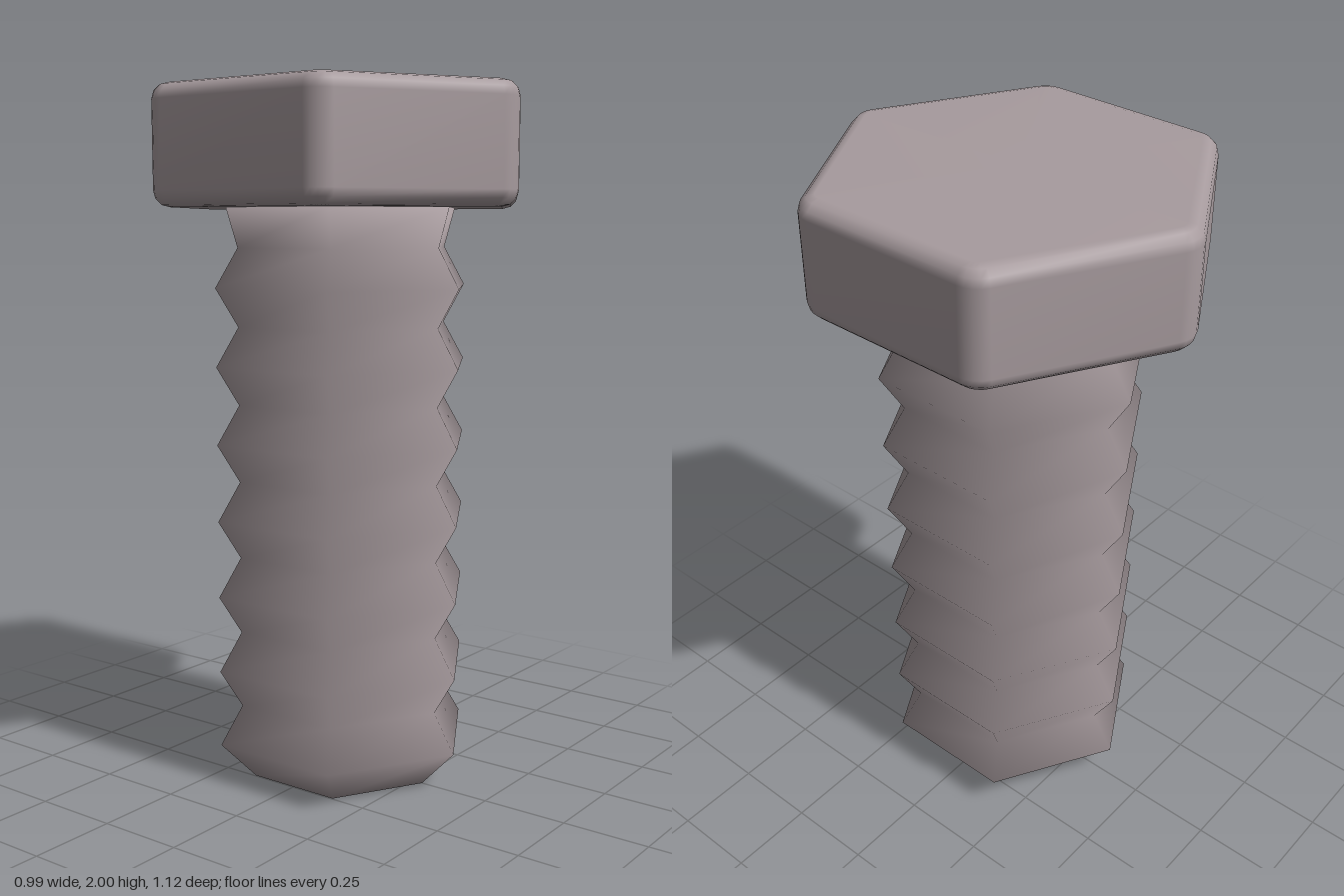
import * as THREE from 'three';

const steel = new THREE.MeshStandardMaterial({ color: 0xa79b9e });
const dir = (a) => [Math.sin(a), Math.cos(a)];

// Joins stacked rings of [x, y, z] points (bottom to top) and caps both ends
function loft(name, rings) {
  const n = rings[0].length, last = (rings.length - 1) * n;
  const points = rings.flat();
  const index = [];
  for (let i = 0; i < rings.length - 1; i++) {
    for (let j = 0; j < n; j++) {
      const a = i * n + j, b = i * n + (j + 1) % n;
      index.push(a, b, b + n, a, b + n, a + n);
    }
  }
  const bottom = points.push([0, rings[0][0][1], 0]) - 1;
  const top = points.push([0, rings[rings.length - 1][0][1], 0]) - 1;
  for (let j = 0; j < n; j++) {
    const k = (j + 1) % n;
    index.push(bottom, k, j, top, last + j, last + k);
  }
  const geometry = new THREE.BufferGeometry();
  geometry.setAttribute('position', new THREE.Float32BufferAttribute(points.flat(), 3));
  geometry.setIndex(index);
  geometry.computeVertexNormals();
  const mesh = new THREE.Mesh(geometry, steel);
  mesh.name = name;
  return mesh;
}

// Six-sided ring with a corner on the z axis
function hexRing(radius, y) {
  return Array.from({ length: 6 }, (_, k) => {
    const [x, z] = dir(k * Math.PI / 3);
    return [x * radius, y, z * radius];
  });
}

// Six-sided ring with rounded corners, shrunk by inset
function roundedHexRing(inset, y) {
  const apothem = 0.497, corner = 0.08, steps = 4;
  const core = (apothem - corner) / Math.cos(Math.PI / 6);
  const ring = [];
  for (let k = 0; k < 6; k++) {
    const angle = k * Math.PI / 3;
    const [cx, cz] = dir(angle);
    for (let s = 0; s <= steps; s++) {
      const [x, z] = dir(angle + (s / steps - 0.5) * Math.PI / 3);
      ring.push([cx * core + x * (corner - inset), y, cz * core + z * (corner - inset)]);
    }
  }
  return ring;
}

export function createModel() {
  const group = new THREE.Group();
  group.name = 'bolt';

  // Threaded shaft: tapered tip, seven ridges and a flared neck
  const pitch = 2 / 9, headBase = 1.667;
  const shaftRings = [hexRing(0.285, 0)];
  for (let i = 0; i < 7; i++) {
    shaftRings.push(hexRing(0.392, (i + 0.5) * pitch), hexRing(0.325, (i + 1) * pitch));
  }
  shaftRings.push(hexRing(0.358, headBase));
  group.add(loft('threadedShaft', shaftRings));

  // Hexagonal head with rounded edges
  const bevel = 0.045, steps = 3;
  const lower = [], upper = [];
  for (let i = 0; i <= steps; i++) {
    const a = (i / steps) * Math.PI / 2;
    const inset = bevel * (1 - Math.sin(a)), rise = bevel * (1 - Math.cos(a));
    lower.push(roundedHexRing(inset, headBase + rise));
    upper.unshift(roundedHexRing(inset, 2 - rise));
  }
  group.add(loft('hexHead', [...lower, ...upper]));

  return group;
}
